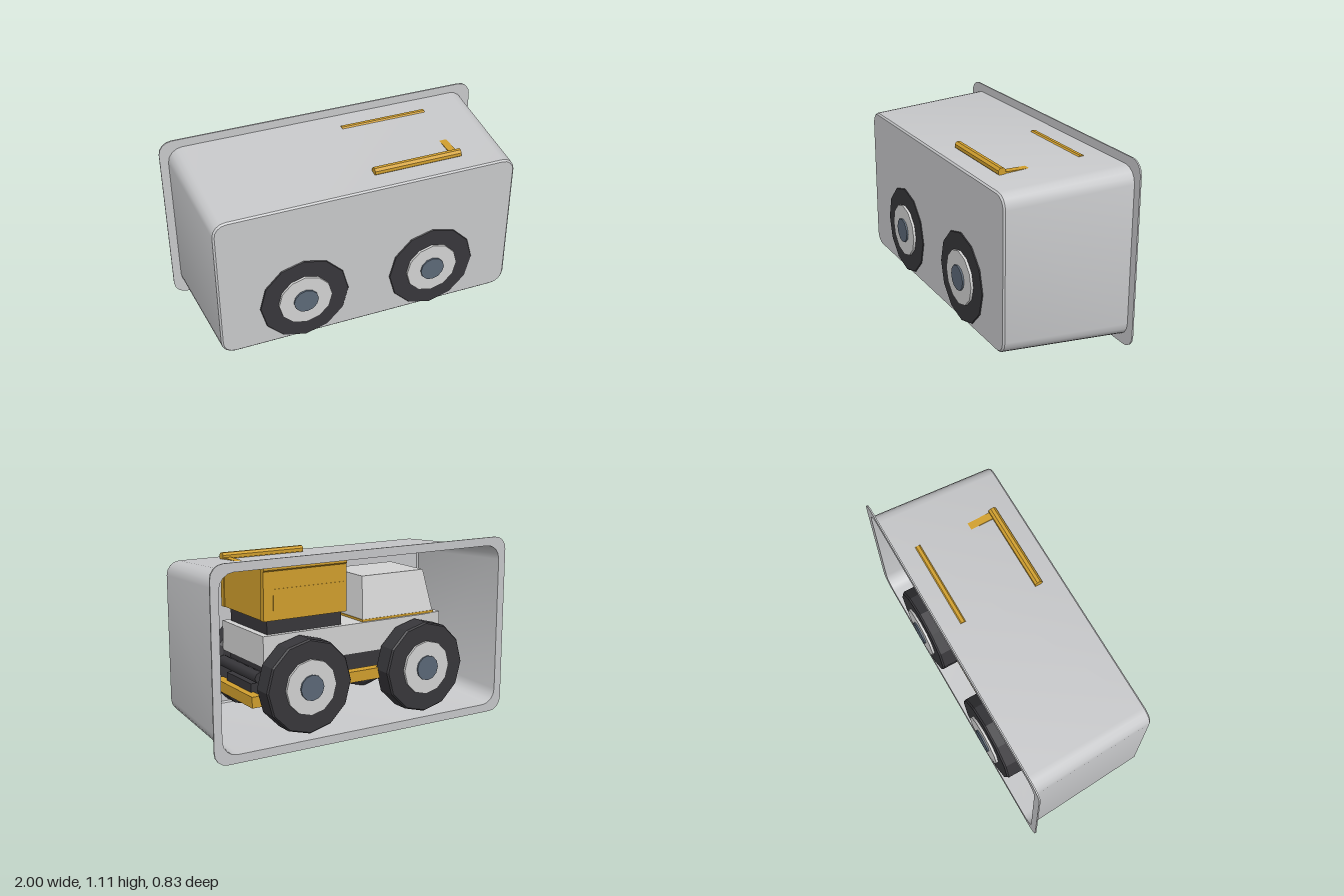
import * as THREE from 'three';
import { toCreasedNormals } from 'three/addons/utils/BufferGeometryUtils.js';

const mat = (name, color, opts = {}) => {
  const m = new THREE.MeshStandardMaterial({ color, ...opts });
  m.name = name;
  return m;
};

// Points of a rounded rectangle, counter-clockwise, centred at height cy
function roundedRect(hw, hh, r, cy, steps = 4) {
  const pts = [];
  const signs = [[1, 1], [-1, 1], [-1, -1], [1, -1]];
  signs.forEach(([sx, sy], q) => {
    for (let i = 0; i <= steps; i++) {
      const a = (q + i / steps) * Math.PI / 2;
      pts.push(new THREE.Vector2(sx * (hw - r) + r * Math.cos(a), cy + sy * (hh - r) + r * Math.sin(a)));
    }
  });
  return pts;
}

// Skin through rings that share a point count; each ring is { pts, z }
function loft(rings) {
  const pos = [], idx = [], n = rings[0].pts.length;
  rings.forEach(({ pts, z }) => pts.forEach(p => pos.push(p.x, p.y, z)));
  for (let k = 0; k < rings.length - 1; k++) {
    for (let i = 0; i < n; i++) {
      const a = k * n + i, b = k * n + (i + 1) % n;
      idx.push(a, a + n, b, b, a + n, b + n);
    }
  }
  const g = new THREE.BufferGeometry();
  g.setAttribute('position', new THREE.Float32BufferAttribute(pos, 3));
  g.setIndex(idx);
  return toCreasedNormals(g, 0.6);
}

export function createModel() {
  const model = new THREE.Group();
  const trayGrey = mat('trayGrey', 0xc8c9cb, { side: THREE.DoubleSide });
  const white = mat('paleGrey', 0xd3d3d3);
  const dark = mat('charcoal', 0x38373b);
  const gold = mat('gold', 0xd2a02e);
  const slate = mat('slate', 0x5c6978);

  const add = (parent, name, geo, material, x = 0, y = 0, z = 0) => {
    const m = new THREE.Mesh(geo, material);
    m.name = name;
    m.position.set(x, y, z);
    parent.add(m);
    return m;
  };
  // Box given by its limits on each axis
  const box = (parent, name, material, x0, x1, y0, y1, z0, z1) =>
    add(parent, name, new THREE.BoxGeometry(x1 - x0, y1 - y0, z1 - z0), material,
      (x0 + x1) / 2, (y0 + y1) / 2, (z0 + z1) / 2);

  // Tapered tray, open at the back
  const tray = new THREE.Group();
  tray.name = 'tray';
  model.add(tray);
  const cy = 0.5525;
  const frontEdge = roundedRect(0.9, 0.445, 0.07, cy);
  const backEdge = roundedRect(0.95, 0.502, 0.09, cy);
  add(tray, 'trayWalls', loft([
    { pts: frontEdge, z: 0.385 },
    { pts: roundedRect(0.91, 0.455, 0.08, cy), z: 0.376 },
    { pts: backEdge, z: -0.378 },
  ]), trayGrey);
  add(tray, 'trayFront', new THREE.ShapeGeometry(new THREE.Shape(frontEdge)), trayGrey, 0, 0, 0.385);

  // Flat flange around the opening
  const flange = new THREE.Shape(roundedRect(1, 0.5525, 0.08, cy));
  flange.holes.push(new THREE.Path(backEdge.slice().reverse()));
  add(tray, 'trayFlange', new THREE.ExtrudeGeometry(flange, { depth: 0.009, bevelEnabled: false }),
    trayGrey, 0, 0, -0.384);

  // Toy truck inside
  const truck = new THREE.Group();
  truck.name = 'truck';
  model.add(truck);

  // Body with slightly tapered nose, outlined from above
  const plan = [[0.62, -0.25], [0.62, 0.25], [-0.47, 0.25], [-0.62, 0.23], [-0.62, -0.23], [-0.47, -0.25]];
  const bodyGeo = new THREE.ExtrudeGeometry(
    new THREE.Shape(plan.map(p => new THREE.Vector2(...p))), { depth: 0.18, bevelEnabled: false });
  bodyGeo.rotateX(-Math.PI / 2);
  add(truck, 'body', bodyGeo, white, 0, 0.47, 0);

  // Cab: a box narrowed toward the top
  const cabGeo = new THREE.BoxGeometry(0.51, 0.25, 0.46).toNonIndexed();
  const cp = cabGeo.attributes.position;
  for (let i = 0; i < cp.count; i++) {
    if (cp.getY(i) > 0) {
      cp.setX(i, cp.getX(i) * 0.87);
      cp.setZ(i, cp.getZ(i) * 0.74);
    }
  }
  cabGeo.computeVertexNormals();
  add(truck, 'cab', cabGeo, white, -0.31, 0.785, 0);
  box(truck, 'cabTrim', gold, -0.57, -0.05, 0.65, 0.663, -0.233, 0.233);

  // Chassis and bumpers
  box(truck, 'chassis', dark, -0.6, 0.6, 0.33, 0.47, -0.2, 0.2);
  for (const s of [-1, 1]) {
    box(truck, 'bumper', gold, s * 0.66 - 0.03, s * 0.66 + 0.03, 0.245, 0.31, -0.24, 0.24);
    const bar = add(truck, 'bumperBar', new THREE.CylinderGeometry(0.035, 0.035, 0.46, 8), dark, s * 0.63, 0.41, 0);
    bar.rotation.x = Math.PI / 2;
    box(truck, 'bumperBracket', dark, s * 0.62 - 0.03, s * 0.62 + 0.03, 0.27, 0.36, -0.15, 0.15);
    box(truck, 'sideStep', gold, -0.3, 0.3, 0.31, 0.375, s * 0.26 - 0.03, s * 0.26 + 0.03);
    const axle = add(truck, 'axle', new THREE.CylinderGeometry(0.05, 0.05, 0.6, 10), dark, s * 0.4, 0.362, 0);
    axle.rotation.x = Math.PI / 2;
  }

  // Load bed
  const bed = new THREE.Group();
  bed.name = 'bed';
  truck.add(bed);
  box(bed, 'bedSupport', dark, 0.09, 0.58, 0.65, 0.735, -0.22, 0.22);
  box(bed, 'bedFloor', gold, 0.09, 0.61, 0.735, 0.775, -0.24, 0.24);
  box(bed, 'bedEnd', gold, 0.57, 0.615, 0.735, 1.026, -0.24, 0.24);
  box(bed, 'bedHeadboard', dark, 0.085, 0.125, 0.735, 0.99, -0.225, 0.225);
  for (const s of [-1, 1]) {
    box(bed, 'bedSide', gold, 0.08, 0.62, 0.735, 1.03, s * 0.242 - 0.018, s * 0.242 + 0.018);
    box(bed, 'bedSidePanel', gold, 0.1, 0.56, 0.79, 0.912, s * 0.261 - 0.002, s * 0.261 + 0.002);
    const railGeo = new THREE.CylinderGeometry(0.025, 0.025, 0.54, 8).toNonIndexed();
    railGeo.rotateY(Math.PI / 8);
    railGeo.rotateZ(Math.PI / 2);
    railGeo.computeVertexNormals();
    add(bed, 'bedRail', railGeo, gold, 0.35, 1.03, s * 0.245);
  }

  // Four wheels, each facing outward
  const profile = [[0, -0.07], [0.245, -0.07], [0.275, -0.05], [0.275, 0.06], [0.267, 0.07], [0, 0.07]];
  const tyreGeo = new THREE.LatheGeometry(profile.map(p => new THREE.Vector2(...p)), 12).toNonIndexed();
  tyreGeo.computeVertexNormals();
  for (const x of [-0.4, 0.4]) {
    for (const s of [-1, 1]) {
      const wheel = new THREE.Group();
      wheel.name = 'wheel';
      wheel.position.set(x, 0.362, s * 0.32);
      wheel.rotation.x = s * Math.PI / 2;
      add(wheel, 'tyre', tyreGeo, dark);
      add(wheel, 'rim', new THREE.CylinderGeometry(0.162, 0.162, 0.03, 12), white, 0, 0.07, 0);
      add(wheel, 'hub', new THREE.CylinderGeometry(0.075, 0.075, 0.03, 12), slate, 0, 0.08, 0);
      truck.add(wheel);
    }
  }
  return model;
}
